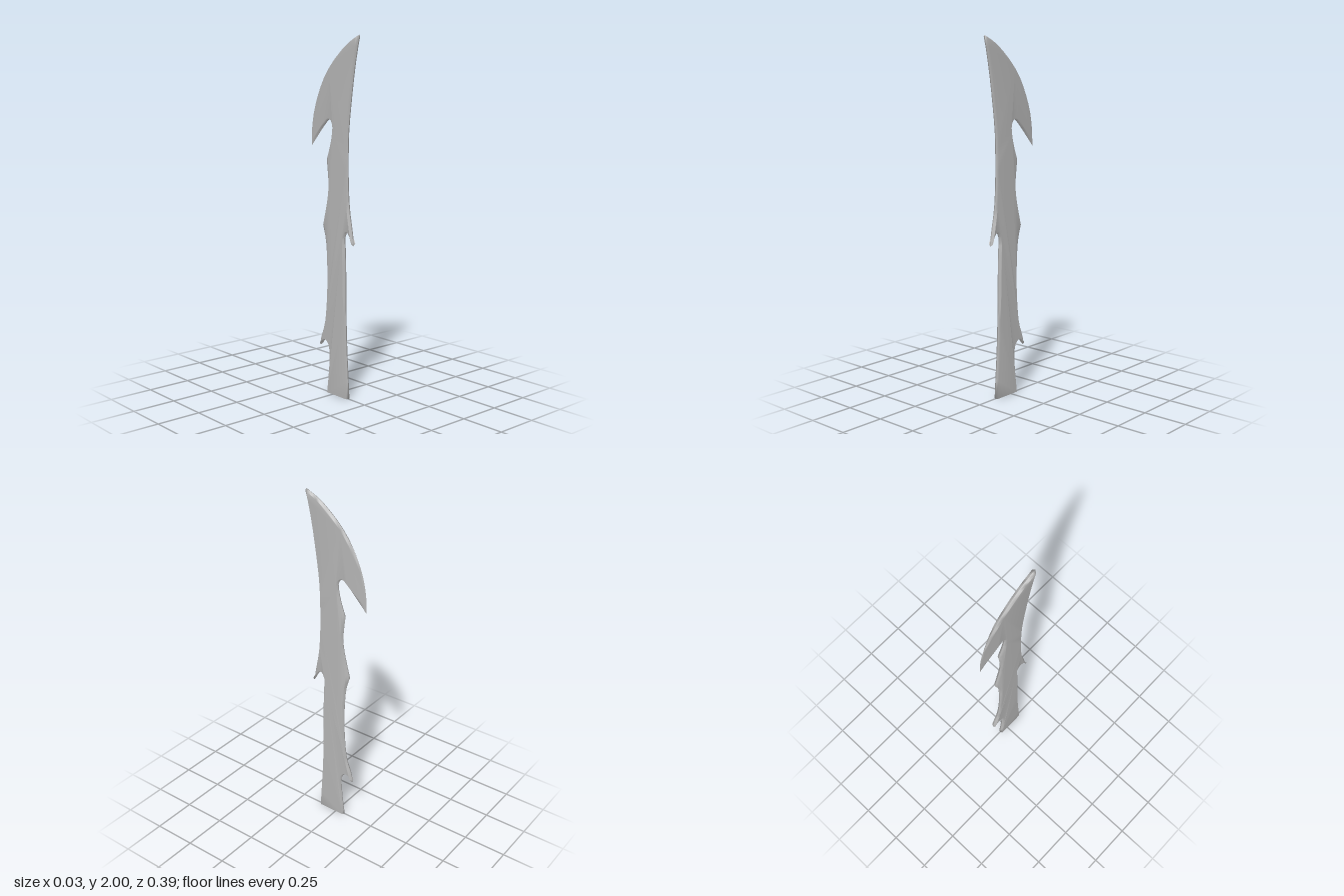
import * as THREE from 'three';
import { mergeVertices } from 'three/addons/utils/BufferGeometryUtils.js';

const HALF = 0.013; // half thickness of the blade
const BEVEL = 0.008; // width of the ground edge

// Outline as smooth runs between sharp corners; each point is [z, y].
const RUNS = [
  // back of the grip up into the lower barb
  [[-0.056, 0], [-0.043, 0.1], [-0.034, 0.2], [-0.038, 0.265], [-0.058, 0.296], [-0.085, 0.298], [-0.115, 0.265]],
  // back edge of the grip to the middle spur
  [[-0.115, 0.265], [-0.104, 0.32], [-0.075, 0.4], [-0.06, 0.5], [-0.052, 0.65], [-0.056, 0.8], [-0.066, 0.89], [-0.088, 0.965]],
  // waist
  [[-0.088, 0.965], [-0.066, 1.05], [-0.05, 1.12], [-0.042, 1.2], [-0.056, 1.335]],
  // notch under the head, out to the hook
  [[-0.056, 1.335], [-0.026, 1.42], [-0.01, 1.5], [-0.02, 1.54], [-0.045, 1.55], [-0.085, 1.515], [-0.192, 1.4]],
  // curved cutting edge
  [[-0.192, 1.4], [-0.188, 1.5], [-0.165, 1.61], [-0.115, 1.725], [-0.03, 1.842], [0.07, 1.932], [0.14, 1.976], [0.197, 2]],
  // front edge down to the front barb
  [[0.197, 2], [0.163, 1.84], [0.136, 1.67], [0.115, 1.5], [0.11, 1.35], [0.112, 1.2], [0.122, 1.07], [0.143, 0.96], [0.157, 0.873]],
  // front barb notch and front of the grip
  [[0.157, 0.873], [0.137, 0.908], [0.118, 0.935], [0.1, 0.938], [0.084, 0.905]],
  [[0.084, 0.905], [0.091, 0.78], [0.094, 0.55], [0.101, 0.3], [0.121, 0]],
];

function outline() {
  const shape = new THREE.Shape();
  shape.moveTo(-RUNS[0][0][0], RUNS[0][0][1]);
  for (const run of RUNS) {
    shape.splineThru(run.slice(1).map(([z, y]) => new THREE.Vector2(-z, y)));
  }
  shape.closePath();
  return shape;
}

function bladeGeometry() {
  const depth = 0.0005;
  let geo = new THREE.ExtrudeGeometry(outline(), {
    depth,
    curveSegments: 2,
    bevelEnabled: true,
    bevelSegments: 1,
    bevelThickness: HALF,
    bevelSize: BEVEL,
    bevelOffset: -BEVEL,
  });
  geo.translate(0, 0, -depth / 2);
  geo.rotateY(Math.PI / 2);

  const p = geo.attributes.position;
  for (let i = 0; i < p.count; i++) {
    const y = p.getY(i);
    // flat end of the grip
    if (y < 0.02) p.setY(i, 0);
    // the head thins toward the hook
    if (y > 1.38) {
      const k = THREE.MathUtils.clamp((p.getZ(i) + 0.197) / 0.125, 0.02, 1);
      p.setX(i, p.getX(i) * k);
    }
  }

  // shared vertices give smooth shading across the faces
  geo.deleteAttribute('normal');
  geo.deleteAttribute('uv');
  geo.clearGroups();
  geo = mergeVertices(geo, 1e-5);
  geo.computeVertexNormals();
  return geo;
}

export function createModel() {
  const steel = new THREE.MeshStandardMaterial({ color: 0xb4b4b4, side: THREE.DoubleSide });
  steel.name = 'grey steel';

  const blade = new THREE.Mesh(bladeGeometry(), steel);
  blade.name = 'hookedBlade';

  const model = new THREE.Group();
  model.name = 'hookedSword';
  model.add(blade);
  return model;
}
